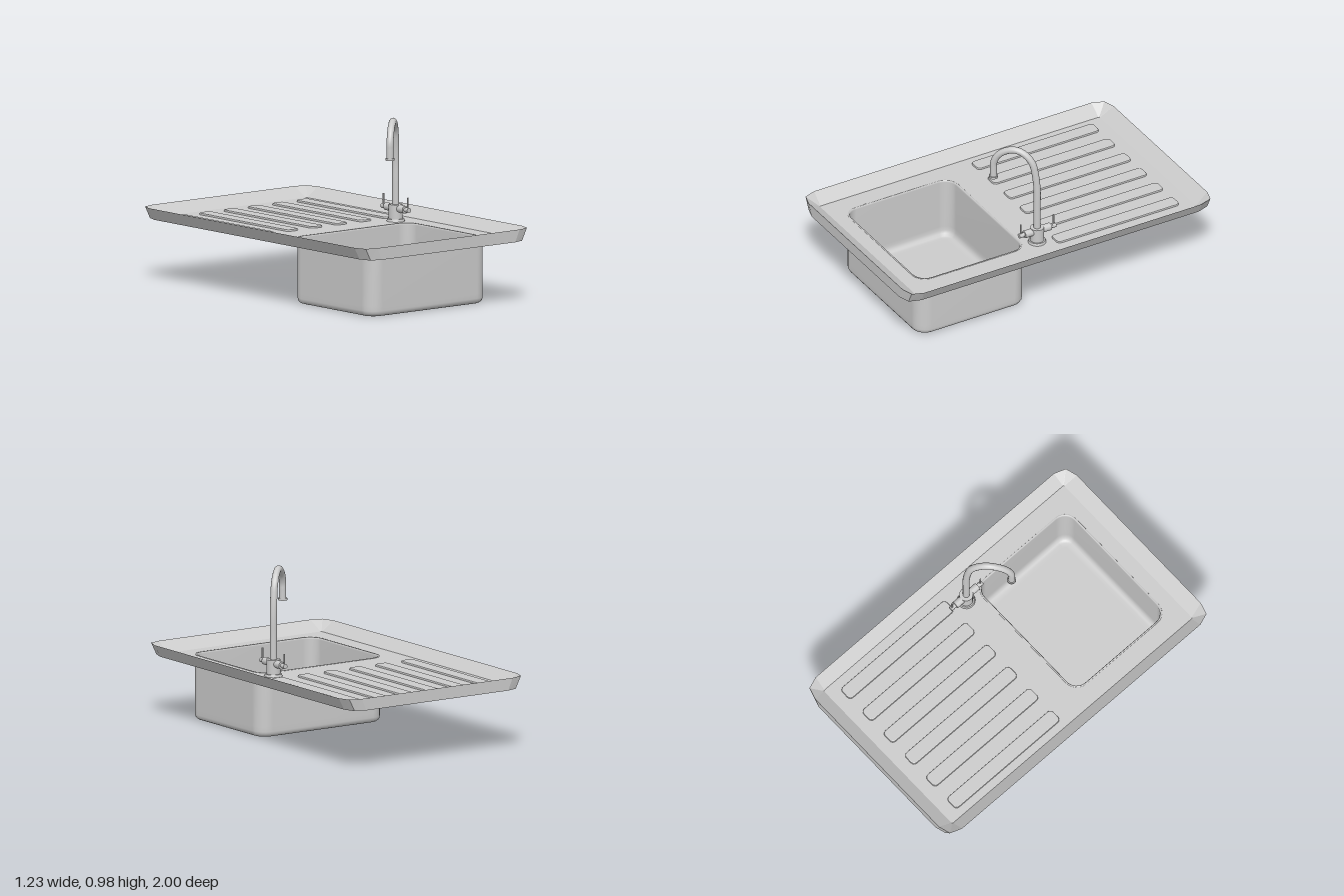
import * as THREE from 'three';

const FLOOR = 0.373, UNDER = 0.36, RIM = 0.43;

const material = new THREE.MeshStandardMaterial({ color: 0xcccccc, side: THREE.DoubleSide });
const flatMaterial = material.clone();
flatMaterial.flatShading = true;

function add(parent, name, geometry, x = 0, y = 0, z = 0, mat = material) {
  const mesh = new THREE.Mesh(geometry, mat);
  mesh.name = name;
  mesh.position.set(x, y, z);
  parent.add(mesh);
  return mesh;
}

// Rounded rectangle as [x, z] points
function roundRect(hx, hz, r, n = 6) {
  const pts = [];
  [[1, 1], [-1, 1], [-1, -1], [1, -1]].forEach(([sx, sz], q) => {
    for (let i = 0; i <= n; i++) {
      const a = (q + i / n) * Math.PI / 2;
      pts.push([sx * (hx - r) + r * Math.cos(a), sz * (hz - r) + r * Math.sin(a)]);
    }
  });
  return pts;
}

// Three points per corner, mirrored around the four quadrants
function cornerRing(corner) {
  const rev = [...corner].reverse();
  return [
    ...corner,
    ...rev.map(([x, z]) => [-x, z]),
    ...corner.map(([x, z]) => [-x, -z]),
    ...rev.map(([x, z]) => [x, -z]),
  ];
}

// Skin joining closed rings; each ring is { pts, y }
function loft(rings) {
  const n = rings[0].pts.length, pos = [], index = [];
  rings.forEach(({ pts, y }) => pts.forEach(([x, z]) => pos.push(x, y, z)));
  for (let k = 0; k < rings.length - 1; k++) {
    for (let i = 0; i < n; i++) {
      const a = k * n + i, b = k * n + (i + 1) % n;
      index.push(a, a + n, b, b, a + n, b + n);
    }
  }
  const g = new THREE.BufferGeometry();
  g.setAttribute('position', new THREE.Float32BufferAttribute(pos, 3));
  g.setIndex(index);
  g.computeVertexNormals();
  return g;
}

// Flat horizontal sheet with a hole, facing up or down
function sheet(outline, hole, up) {
  const s = up ? -1 : 1;
  const vec = (pts) => pts.map(([x, z]) => new THREE.Vector2(x, s * z));
  const shape = new THREE.Shape(vec(outline));
  shape.holes.push(new THREE.Path(vec(hole)));
  return new THREE.ShapeGeometry(shape).rotateX(s * Math.PI / 2);
}

function createDeck(bowlX, bowlZ, bowlCenter) {
  const deck = new THREE.Group();
  deck.name = 'deck';
  const top = cornerRing([[0.615, 0.91], [0.59, 0.98], [0.52, 1]]);
  const bottom = top.map(([x, z]) => [x * 0.94, z]);
  const floor = cornerRing([[0.54, 0.912], [0.538, 0.916], [0.534, 0.918]]);
  const hole = (inset) => roundRect(bowlX - inset, bowlZ - inset, 0.085 - inset)
    .map(([x, z]) => [x, z + bowlCenter]);

  add(deck, 'slopedRim', loft([
    { pts: bottom, y: UNDER }, { pts: top, y: RIM }, { pts: floor, y: FLOOR },
  ]), 0, 0, 0, flatMaterial);
  add(deck, 'deckFloor', sheet(floor, hole(0.005), true), 0, FLOOR, 0);
  add(deck, 'deckUnderside', sheet(bottom, hole(0.002), false), 0, UNDER, 0);

  // Raised drainer ribs
  const ribShape = new THREE.Shape(roundRect(0.037, 0.394, 0.018, 4).map(([x, z]) => new THREE.Vector2(x, z)));
  const rib = new THREE.ExtrudeGeometry(ribShape, {
    depth: 0.005, bevelThickness: 0.006, bevelSize: 0.006, bevelSegments: 2,
  }).rotateX(-Math.PI / 2);
  for (let i = 0; i < 6; i++) add(deck, 'drainerRib', rib, -0.45 + i * 0.178, FLOOR, -0.445);
  return deck;
}

function createBowl(hx, hz) {
  // Section from outer bottom centre, up the outside, over the lip, down the inside: [inset, y]
  const section = [
    [0.06, 0], [0.028, 0], [0.018, 0.003], [0.008, 0.01], [0.002, 0.02], [0, 0.032], [0, 0.06], [0, 0.37],
    [0.002, FLOOR + 0.002], [0.009, FLOOR + 0.002], [0.013, 0.365], [0.013, 0.07],
    [0.014, 0.045], [0.02, 0.027], [0.032, 0.016], [0.045, 0.012], [0.07, 0.012],
  ];
  const rings = section.map(([d, y]) => ({ pts: roundRect(hx - d, hz - d, 0.085 - d), y }));
  const center = rings[0].pts.map(() => [0, 0]);
  return loft([{ pts: center, y: 0 }, ...rings, { pts: center, y: 0.012 }]);
}

function createFaucet() {
  const faucet = new THREE.Group();
  faucet.name = 'faucet';
  const cyl = (r, h, r2 = r) => new THREE.CylinderGeometry(r, r2, h, 20);

  add(faucet, 'baseFlange', cyl(0.048, 0.015, 0.052), 0, FLOOR + 0.007, 0);
  add(faucet, 'base', cyl(0.04, 0.09), 0, 0.425, 0);

  // Swan-neck spout, turned diagonally over the bowl
  const points = [[0, 0.45], [0, 0.6], [0, 0.72], [0.012, 0.83], [0.03, 0.895], [0.075, 0.945], [0.127, 0.963],
    [0.185, 0.948], [0.232, 0.91], [0.255, 0.86], [0.257, 0.82], [0.257, 0.765]];
  const dx = -0.728, dz = 0.686;
  const path = new THREE.CatmullRomCurve3(points.map(([t, y]) => new THREE.Vector3(t * dx, y, t * dz)));
  add(faucet, 'spout', new THREE.TubeGeometry(path, 48, 0.02, 14));
  add(faucet, 'spoutTip', cyl(0.026, 0.012), 0.257 * dx, 0.766, 0.257 * dz);

  // Valve arms with thin levers
  for (const s of [1, -1]) {
    add(faucet, 'valveArm', cyl(0.022, 0.06).rotateX(Math.PI / 2), 0, 0.447, s * 0.055);
    add(faucet, 'valveStem', cyl(0.012, 0.04).rotateX(Math.PI / 2), 0, 0.447, s * 0.095);
    add(faucet, 'valveCap', cyl(0.014, 0.022).rotateX(Math.PI / 2), 0, 0.447, s * 0.108);
    add(faucet, 'lever', cyl(0.005, 0.08), 0, 0.478, s * 0.108);
  }
  faucet.position.set(0.4, 0, 0.045);
  return faucet;
}

export function createModel() {
  const sink = new THREE.Group();
  sink.name = 'kitchenSink';
  const bowlX = 0.43, bowlZ = 0.355, bowlCenter = 0.48;
  sink.add(createDeck(bowlX, bowlZ, bowlCenter));
  add(sink, 'bowl', createBowl(bowlX, bowlZ), 0, 0, bowlCenter);
  sink.add(createFaucet());
  return sink;
}
